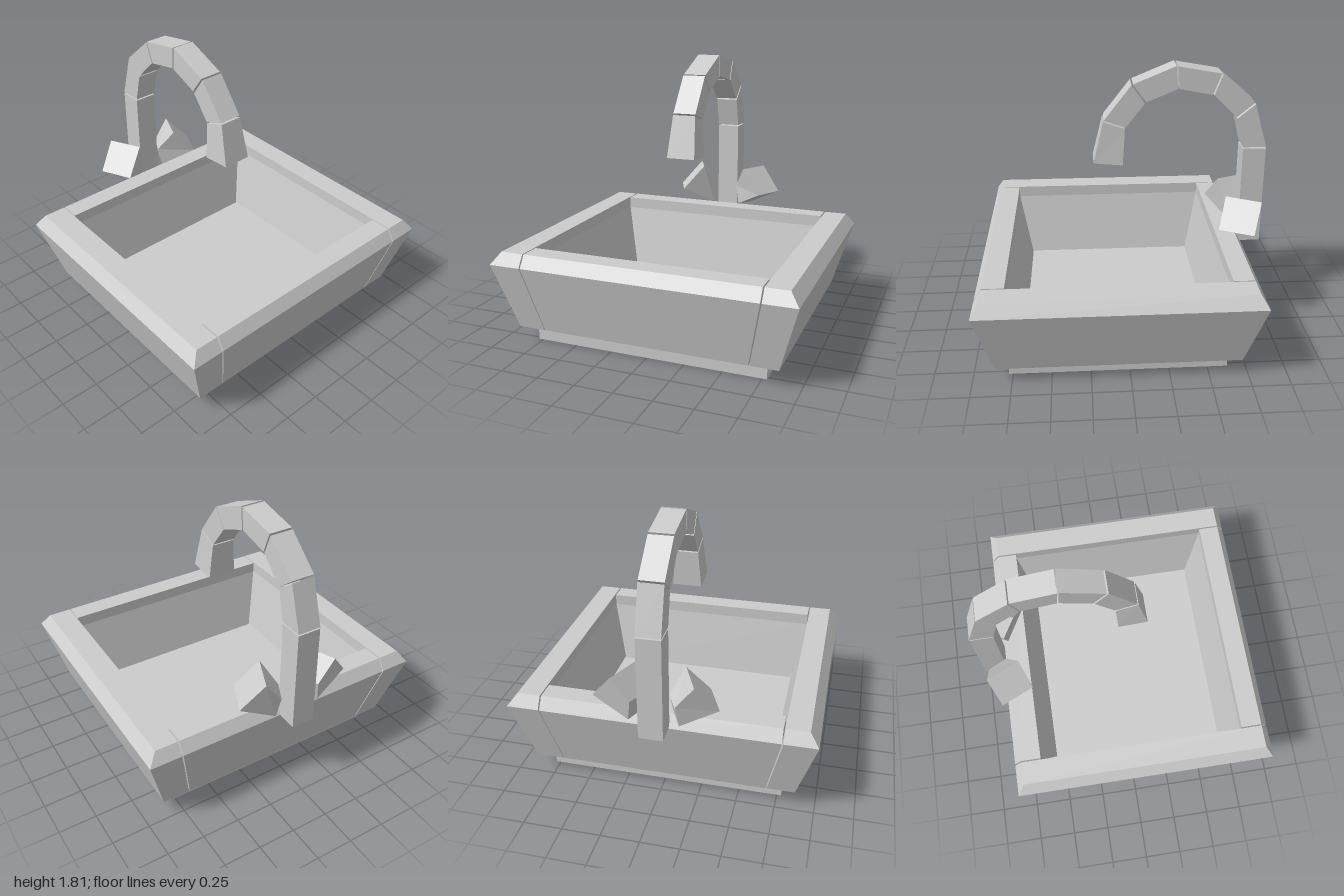
import * as THREE from 'three';

const material = new THREE.MeshStandardMaterial({ color: 0xcccccc, flatShading: true });

// Solid through four-cornered rings; corners run counter-clockwise seen from the last ring's side.
function loft(name, rings) {
  const pos = [];
  const quad = (a, b, c, d) => pos.push(...a, ...b, ...c, ...a, ...c, ...d);
  for (let r = 0; r < rings.length - 1; r++) {
    for (let i = 0; i < 4; i++) {
      const j = (i + 1) % 4;
      quad(rings[r][i], rings[r][j], rings[r + 1][j], rings[r + 1][i]);
    }
  }
  quad(...[...rings[0]].reverse());
  quad(...rings[rings.length - 1]);
  const geometry = new THREE.BufferGeometry();
  geometry.setAttribute('position', new THREE.Float32BufferAttribute(pos, 3));
  geometry.computeVertexNormals();
  const mesh = new THREE.Mesh(geometry, material);
  mesh.name = name;
  return mesh;
}

// Horizontal rectangle at height y
const level = (y, x0, x1, z0, z1) => [[x0, y, z0], [x0, y, z1], [x1, y, z1], [x1, y, z0]];

function createBasin() {
  const basin = new THREE.Group();
  basin.name = 'basin';

  // Floor slab
  basin.add(loft('base', [level(0, -0.78, 0.78, -0.63, 0.775), level(0.107, -0.78, 0.78, -0.63, 0.775)]));

  // Per height: y, half width of front/back wall, side wall inner and outer x,
  // back wall outer and inner z, front wall inner and outer z
  const profile = [
    [0.107, 0.683, 0.69, 0.87, -0.71, -0.55, 0.68, 0.85],
    [0.55, 0.778, 0.787, 1.0, -0.825, -0.64, 0.77, 0.96],
    [0.63, 0.778, 0.787, 0.94, -0.775, -0.64, 0.77, 0.91],
  ];
  basin.add(loft('frontWall', profile.map(([y, w, , , , , z0, z1]) => level(y, -w, w, z0, z1))));
  basin.add(loft('backWall', profile.map(([y, w, , , z0, z1]) => level(y, -w, w, z0, z1))));
  basin.add(loft('leftWall', profile.map(([y, , x0, x1, z0, , , z1]) => level(y, x0, x1, z0, z1))));
  basin.add(loft('rightWall', profile.map(([y, , x0, x1, z0, , , z1]) => level(y, -x1, -x0, z0, z1))));
  return basin;
}

function createSpout() {
  const spout = new THREE.Group();
  spout.name = 'spout';
  // Each segment: start and end as inner z, inner y, outer z, outer y
  const segments = [
    [[-0.804, 0.55, -0.96, 0.55], [-0.804, 1.237, -0.96, 1.237]],
    [[-0.804, 1.247, -0.96, 1.247], [-0.753, 1.448, -0.871, 1.546]],
    [[-0.747, 1.458, -0.866, 1.556], [-0.593, 1.611, -0.646, 1.747]],
    [[-0.582, 1.614, -0.637, 1.755], [-0.363, 1.658, -0.352, 1.806]],
    [[-0.352, 1.656, -0.341, 1.809], [-0.15, 1.572, -0.062, 1.693]],
    [[-0.139, 1.562, -0.052, 1.688], [-0.015, 1.402, 0.129, 1.453]],
    [[-0.01, 1.392, 0.134, 1.443], [0.005, 1.144, 0.2, 1.163]],
  ];
  const ring = ([zi, yi, zo, yo], w) => [[-w, yi, zi], [w, yi, zi], [w, yo, zo], [-w, yo, zo]];
  segments.forEach(([start, end], i) => {
    const flare = i === segments.length - 1 ? 0.097 : 0.078; // nozzle widens
    spout.add(loft(i === 0 ? 'spoutPost' : flare > 0.08 ? 'nozzle' : 'spoutSegment' + i,
      [ring(start, 0.078), ring(end, flare)]));
  });
  return spout;
}

// Tilted, tapered tap knob; side is 1 for left, -1 for right
function createHandle(side) {
  const back = [[0.14, 0.768, -0.913], [0.16, 0.625, -0.89], [0.4, 0.742, -0.845], [0.258, 0.92, -0.914]];
  const front = [[0.075, 0.77, -0.786], [0.1, 0.633, -0.77], [0.303, 0.748, -0.625], [0.158, 0.927, -0.69]];
  const rings = [back, front].map((r) => {
    const m = r.map(([x, y, z]) => [x * side, y, z]);
    return side > 0 ? m : m.reverse();
  });
  return loft(side > 0 ? 'leftHandle' : 'rightHandle', rings);
}

export function createModel() {
  const sink = new THREE.Group();
  sink.name = 'sink';
  sink.add(createBasin(), createSpout(), createHandle(1), createHandle(-1));
  return sink;
}
